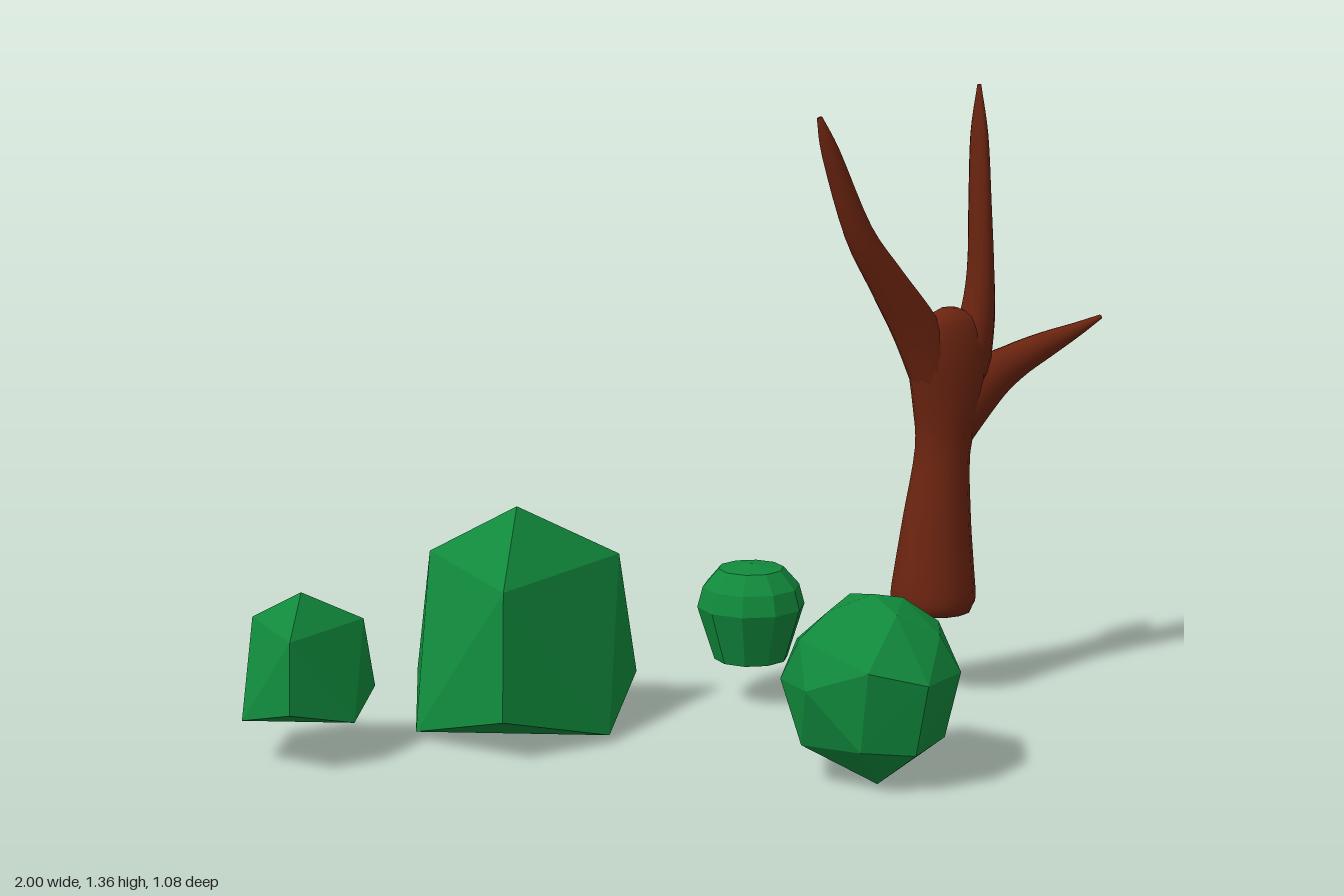
import * as THREE from 'three';
import { ConvexGeometry } from 'three/addons/geometries/ConvexGeometry.js';

const leaf = new THREE.MeshStandardMaterial({ color: 0x118a3c, flatShading: true });
const bark = new THREE.MeshStandardMaterial({ color: 0x6b2410 });

function add(parent, name, geometry, material, x = 0, y = 0, z = 0) {
  const mesh = new THREE.Mesh(geometry, material);
  mesh.name = name;
  mesh.position.set(x, y, z);
  parent.add(mesh);
  return mesh;
}

// Sweeps an elliptical section along stations of [x, y, z, in-plane radius, depth radius].
function limb(stations, sides = 14, steps = 4) {
  const path = new THREE.CatmullRomCurve3(stations.map(s => new THREE.Vector3(s[0], s[1], s[2])), false, 'catmullrom');
  const size = new THREE.CatmullRomCurve3(stations.map(s => new THREE.Vector3(s[3], s[4], 0)), false, 'catmullrom');
  const rings = (stations.length - 1) * steps;
  const pos = [], index = [];
  for (let i = 0; i <= rings; i++) {
    const c = path.getPoint(i / rings), t = path.getTangent(i / rings), r = size.getPoint(i / rings);
    const n = new THREE.Vector2(t.y, -t.x).normalize();
    for (let j = 0; j < sides; j++) {
      const a = j / sides * Math.PI * 2, k = Math.cos(a) * r.x;
      pos.push(c.x + n.x * k, c.y + n.y * k, c.z + Math.sin(a) * r.y);
      if (i === rings) continue;
      const p = i * sides + j, q = i * sides + (j + 1) % sides;
      index.push(p, p + sides, q, q, p + sides, q + sides);
    }
  }
  // End caps
  const first = stations[0], last = stations[stations.length - 1];
  pos.push(...first.slice(0, 3), ...last.slice(0, 3));
  const start = (rings + 1) * sides;
  for (let j = 0; j < sides; j++) {
    const k = (j + 1) % sides, top = rings * sides;
    index.push(start, j, k, start + 1, top + k, top + j);
  }
  const g = new THREE.BufferGeometry();
  g.setAttribute('position', new THREE.Float32BufferAttribute(pos, 3));
  g.setIndex(index);
  g.computeVertexNormals();
  return g;
}

// Three-sided pointed bush: an apex and three rings of three corners.
function pointedBush() {
  const pts = [new THREE.Vector3(0, 0.47, 0)];
  for (const [r, y, turn] of [[0.24, 0.34, 0], [0.28, 0.07, 0], [0.24, 0, Math.PI / 3]])
    for (let i = 0; i < 3; i++) {
      const a = turn + i * Math.PI * 2 / 3;
      pts.push(new THREE.Vector3(r * Math.cos(a), y, r * Math.sin(a)));
    }
  return new ConvexGeometry(pts);
}

// Round faceted bush, mirrored front to back.
function roundBush() {
  const middle = [[0, 0.19], [0.07, 0.175], [0.155, 0.115], [0.19, 0.015], [0.175, -0.07],
    [0.105, -0.165], [-0.165, -0.11], [-0.105, 0.165], [-0.17, 0.115]];
  const pairs = [[-0.025, -0.193, 0.07], [0.01, -0.112, 0.168], [0.025, 0.038, 0.19], [0, 0.168, 0.1],
    [0.135, 0.04, 0.13], [0.13, -0.112, 0.075], [0.09, 0.12, 0.12], [-0.095, 0.07, 0.155],
    [-0.185, 0.02, 0.055], [-0.1, -0.1, 0.135]];
  const pts = middle.map(([x, y]) => new THREE.Vector3(x, y, 0));
  for (const [x, y, z] of pairs) pts.push(new THREE.Vector3(x, y, z), new THREE.Vector3(x, y, -z));
  return new ConvexGeometry(pts);
}

export function createModel() {
  const model = new THREE.Group();
  model.name = 'treeAndBushes';

  // Bare tree
  const tree = new THREE.Group();
  tree.name = 'bareTree';
  model.add(tree);
  const z = -0.15;
  add(tree, 'trunk', limb([
    [0.572, 0.19, z, 0.085, 0.088], [0.572, 0.22, z, 0.095, 0.097], [0.575, 0.3, z, 0.087, 0.088],
    [0.58, 0.4, z, 0.076, 0.075], [0.592, 0.55, z, 0.063, 0.058], [0.602, 0.65, z, 0.082, 0.058],
    [0.605, 0.76, z, 0.098, 0.056], [0.605, 0.84, z, 0.07, 0.042], [0.605, 0.87, z, 0.02, 0.015]]), bark);
  add(tree, 'rightBranch', limb([
    [0.59, 0.68, z, 0.06, 0.05], [0.525, 0.82, -0.15, 0.055, 0.046], [0.445, 0.94, -0.145, 0.042, 0.04],
    [0.37, 1.055, -0.14, 0.031, 0.034], [0.297, 1.23, -0.13, 0.02, 0.021], [0.266, 1.31, -0.125, 0.006, 0.007]]), bark);
  add(tree, 'uprightBranch', limb([
    [0.645, 0.72, z, 0.06, 0.045], [0.675, 0.84, z, 0.04, 0.042], [0.683, 0.95, z, 0.028, 0.038],
    [0.679, 1.1, z, 0.021, 0.036], [0.675, 1.25, z, 0.016, 0.028], [0.673, 1.36, z, 0.004, 0.005]]), bark);
  add(tree, 'leftBranch', limb([
    [0.61, 0.6, z, 0.058, 0.05], [0.69, 0.69, z, 0.058, 0.045], [0.77, 0.735, z, 0.042, 0.036],
    [0.855, 0.768, z, 0.03, 0.027], [0.93, 0.794, z, 0.017, 0.018], [0.998, 0.82, z, 0.005, 0.006]]), bark);

  // Pointed bushes
  add(model, 'largePointedBush', pointedBush(), leaf, -0.37, 0.02, -0.3);
  add(model, 'smallPointedBush', pointedBush(), leaf, -0.86, 0.095, -0.3).scale.set(0.57, 0.555, 0.57);

  // Round bush
  add(model, 'roundBush', roundBush(), leaf, 0.145, 0.197, 0.35);

  // Small tub-shaped bush
  const profile = [[0, 0.1], [0.082, 0.1], [0.12, 0.22], [0.108, 0.265], [0.073, 0.305], [0, 0.315]];
  add(model, 'smallBush', new THREE.LatheGeometry(profile.map(p => new THREE.Vector2(...p)), 10), leaf, 0.17, 0, -0.257);

  return model;
}
